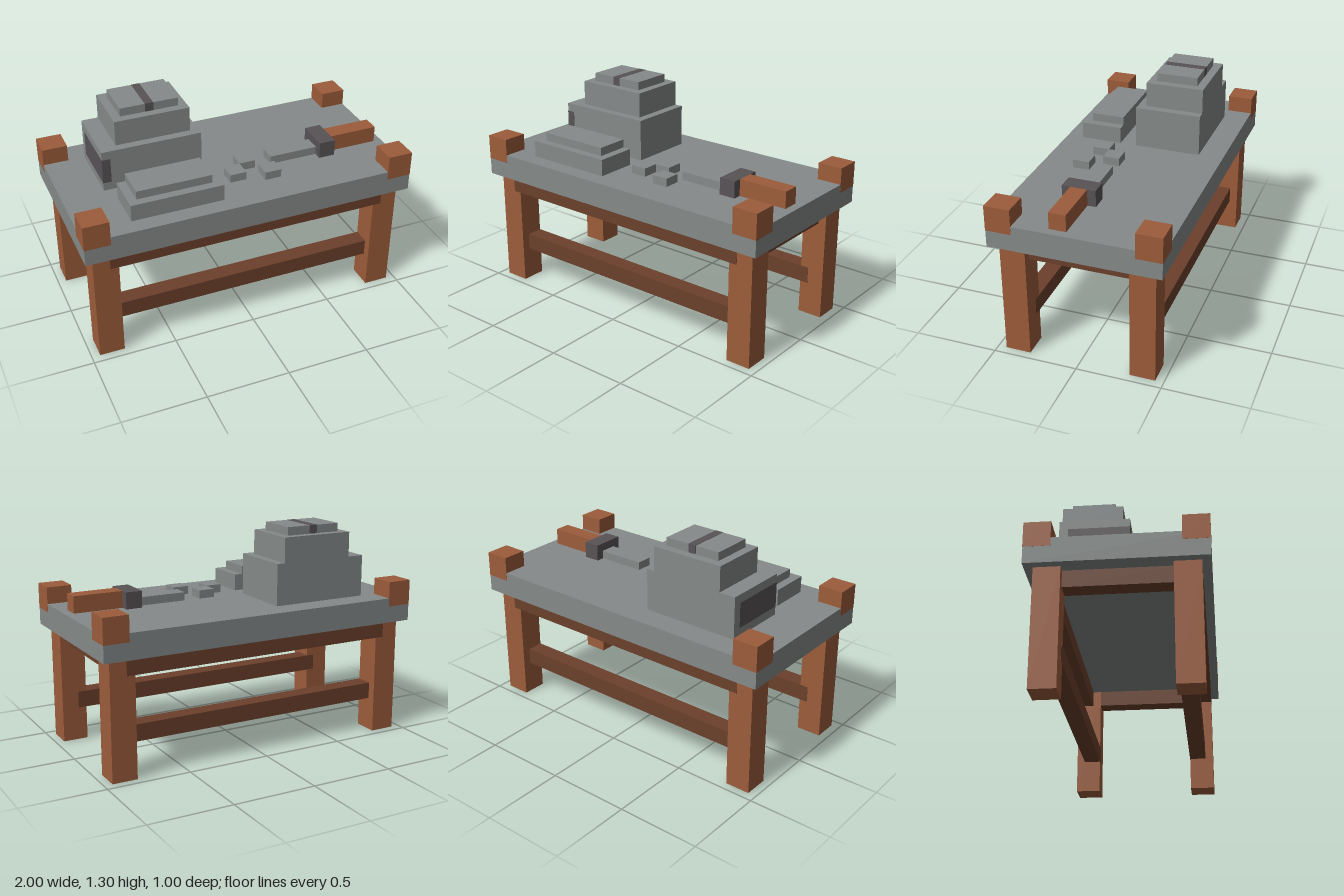
import * as THREE from 'three';

const paint = (name, color) => Object.assign(new THREE.MeshStandardMaterial({ color }), { name });

export function createModel() {
  const stone = paint('stone grey', 0x858a89);
  const wood = paint('warm wood', 0x9c5c3a);
  const darkWood = paint('dark wood', 0x6b402b);
  const iron = paint('dark iron', 0x585356);

  const model = new THREE.Group();
  model.name = 'smithingTable';

  // Box given by its lower and upper corners
  const box = (name, mat, [x0, y0, z0], [x1, y1, z1], parent = model) => {
    const mesh = new THREE.Mesh(new THREE.BoxGeometry(x1 - x0, y1 - y0, z1 - z0), mat);
    mesh.position.set((x0 + x1) / 2, (y0 + y1) / 2, (z0 + z1) / 2);
    mesh.name = name;
    parent.add(mesh);
    return mesh;
  };
  const group = (name) => {
    const g = new THREE.Group();
    g.name = name;
    model.add(g);
    return g;
  };
  const e = 0.001; // keeps flush faces apart

  // Table
  box('tableTop', stone, [-1, 0.7, -0.5], [1, 0.85, 0.5]);
  for (const sx of [-1, 1]) {
    for (const sz of [-1, 1]) {
      const leg = box('leg', wood, [0.8, 0, 0.3], [0.95, 0.7, 0.45]);
      leg.position.x *= sx;
      leg.position.z *= sz;
      const cap = box('cornerBlock', wood, [0.85, 0.8, 0.35], [1 + e, 0.95, 0.5 + e]);
      cap.position.x *= sx;
      cap.position.z *= sz;
    }
    box('sideApron', darkWood, [0.8, 0.6, -0.3], [0.9, 0.7, 0.3]).position.x *= sx;
  }
  for (const sz of [-1, 1]) {
    box('longApron', darkWood, [-0.85, 0.6, 0.35], [0.85, 0.7, 0.45 + e]).position.z *= sz;
    box('stretcher', darkWood, [-0.85, 0.2, 0.3 - e], [0.85, 0.3, 0.4]).position.z *= sz;
  }

  // Stepped furnace with an iron door and top slot
  const furnace = group('furnace');
  box('furnaceBase', stone, [-0.75, 0.85, -0.35], [-0.15, 1.1, 0.05], furnace);
  box('furnaceMiddle', stone, [-0.65, 1.1, -0.35], [-0.2, 1.25, 0], furnace);
  box('furnaceTop', stone, [-0.6, 1.25, -0.3], [-0.25, 1.3, -0.05], furnace);
  box('furnaceSlot', iron, [-0.45, 1.25, -0.3 - e], [-0.4, 1.3 + e, -0.05 + e], furnace);
  box('furnaceDoor', iron, [-0.75 - e, 0.9, -0.3], [-0.7, 1.05, 0.05 + e], furnace);

  // Stepped block in front of the furnace
  const block = group('workBlock');
  box('workBlockBase', stone, [-0.7, 0.85, 0.15], [-0.15, 0.95, 0.4], block);
  box('workBlockTop', stone, [-0.65, 0.95, 0.15], [-0.2, 1, 0.35], block);

  // Loose stone pieces
  for (const [x, z] of [[-0.05, 0.15], [0.05, 0.05], [0.15, 0.2]])
    box('stonePiece', stone, [x, 0.85, z], [x + 0.1, 0.9, z + 0.1]);

  // Tool lying on the table
  const tool = group('tool');
  box('toolBlade', stone, [0.25, 0.85, 0.05], [0.55, 0.9, 0.15], tool);
  box('toolGuard', iron, [0.55, 0.85, 0], [0.65, 0.95, 0.2], tool);
  box('toolHandle', wood, [0.65, 0.85, 0.05], [0.95, 0.95, 0.15], tool);

  return model;
}
